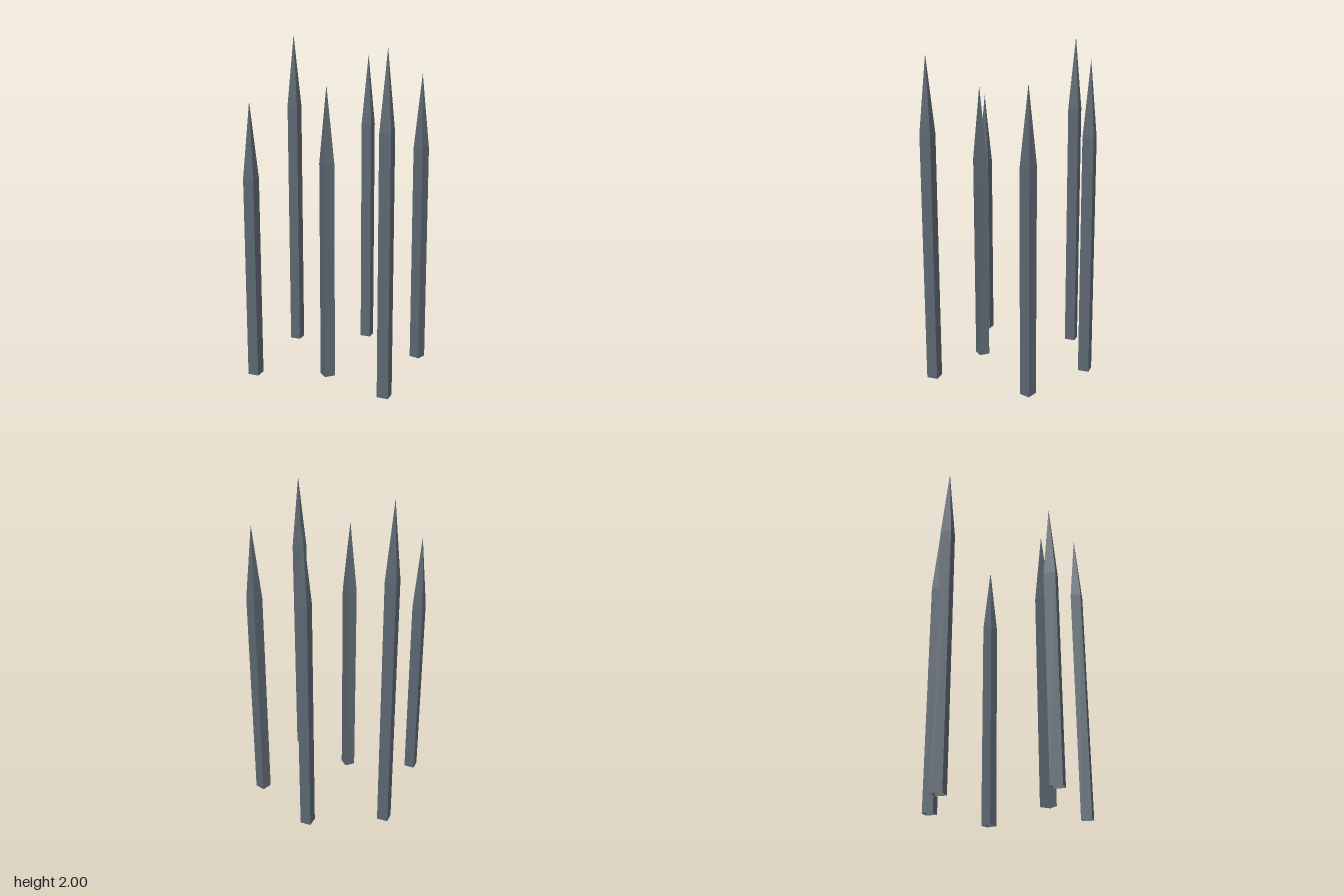
import * as THREE from 'three';

const SIDE = 0.066;  // width of a square stake
const TIP = 0.44;    // length of the sharpened end

// x, z, total height, turn about the vertical axis
const STAKES = [
  [-0.427, -0.2, 2.0, 0],
  [-0.006, -0.417, 1.88, 0],
  [0.416, -0.199, 1.77, -0.32],
  [0.001, 0.268, 1.715, Math.PI / 4],
  [-0.408, 0.412, 1.625, 0],
  [0.407, 0.407, 1.915, 0],
];

export function createModel() {
  const group = new THREE.Group();
  group.name = 'stakes';
  const material = new THREE.MeshStandardMaterial({
    color: 0x5c6670, flatShading: true, side: THREE.DoubleSide,
  });
  const radius = SIDE / Math.SQRT2;

  STAKES.forEach(([x, z, height, turn], i) => {
    const stake = new THREE.Group();
    stake.name = `stake${i + 1}`;
    const shaftHeight = height - TIP;

    // Square shaft, open at the foot and under the point
    const shaft = new THREE.Mesh(
      new THREE.CylinderGeometry(radius, radius, shaftHeight, 4, 1, true).rotateY(Math.PI / 4), material);
    shaft.name = 'shaft';
    shaft.position.y = shaftHeight / 2;

    // Four-sided point
    const point = new THREE.Mesh(
      new THREE.ConeGeometry(radius, TIP, 4, 1, true).rotateY(Math.PI / 4), material);
    point.name = 'point';
    point.position.y = shaftHeight + TIP / 2;

    stake.add(shaft, point);
    stake.position.set(x, 0, z);
    stake.rotation.y = turn;
    group.add(stake);
  });
  return group;
}
